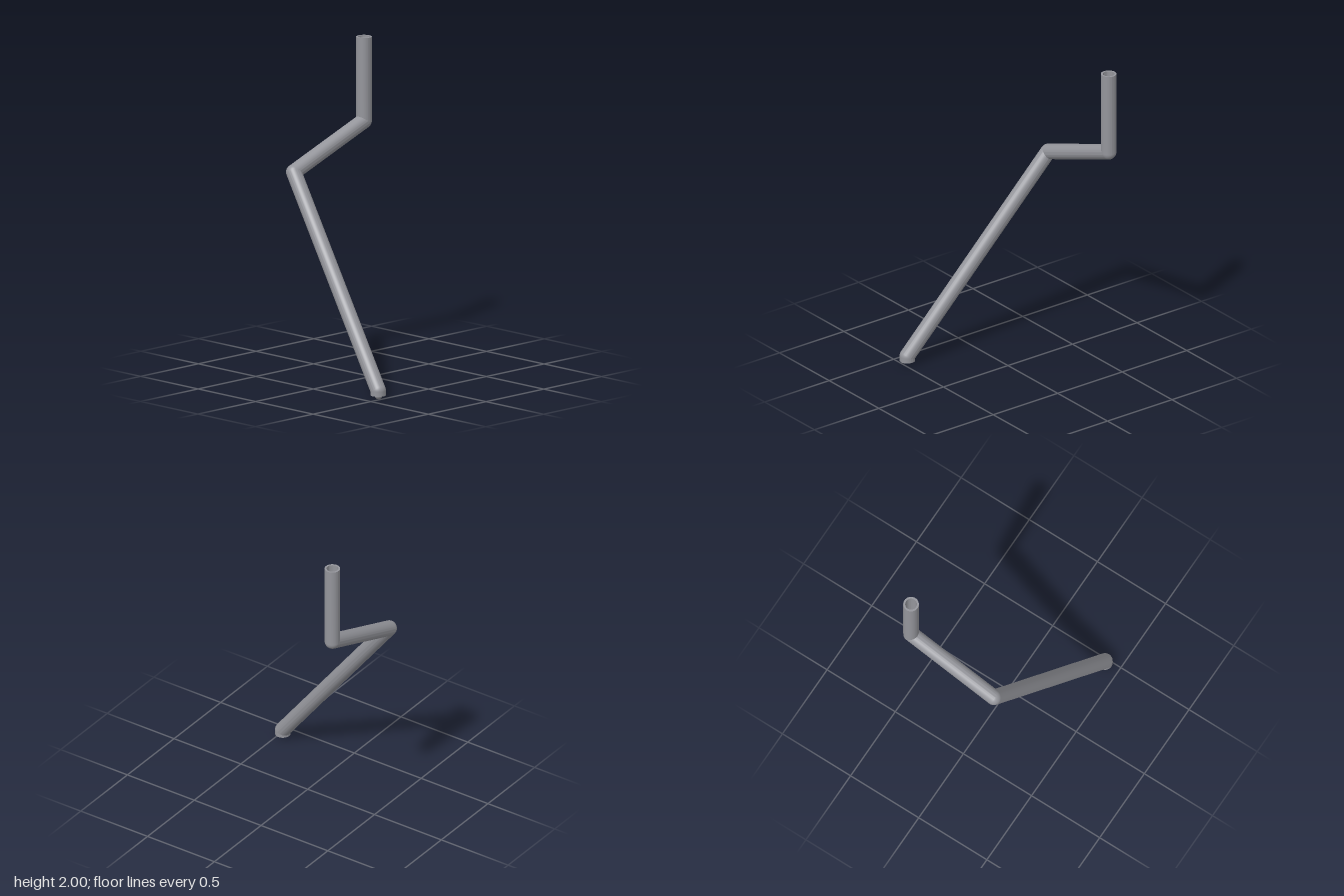
import * as THREE from 'three';
import { toCreasedNormals } from 'three/addons/utils/BufferGeometryUtils.js';

const OUTER = 0.048, BORE = 0.036, SIDES = 48;

export function createModel() {
  const group = new THREE.Group();
  const material = new THREE.MeshStandardMaterial({ color: 0x94959b });

  function add(name, geometry, position) {
    const mesh = new THREE.Mesh(geometry, material);
    mesh.name = name;
    mesh.position.copy(position);
    group.add(mesh);
    return mesh;
  }

  // Hollow pipe running from one point to another
  function pipe(name, from, to) {
    const dir = to.clone().sub(from);
    const h = dir.length();
    const profile = [[BORE, 0], [OUTER, 0], [OUTER, h], [BORE, h], [BORE, 0]]
      .map(([r, y]) => new THREE.Vector2(r, y));
    const geometry = toCreasedNormals(new THREE.LatheGeometry(profile, SIDES), 0.6);
    add(name, geometry, from).quaternion
      .setFromUnitVectors(new THREE.Vector3(0, 1, 0), dir.normalize());
  }

  const top = new THREE.Vector3(-0.468, 2, -0.405);
  const upperBend = new THREE.Vector3(-0.468, 1.47, -0.405);
  const lowerBend = new THREE.Vector3(-0.468, 1.243, 0.203);
  const foot = new THREE.Vector3(0.468, 0.05, 0.404);
  const mouth = foot.clone().setY(0.02);

  // Three straight runs
  pipe('upperPipe', upperBend, top);
  pipe('middlePipe', lowerBend, upperBend);
  pipe('longPipe', foot, lowerBend);

  // Rounded corners
  const ball = new THREE.SphereGeometry(OUTER, SIDES, 24);
  add('upperElbow', ball, upperBend);
  add('lowerElbow', ball, lowerBend);

  // Foot: domed bend, short downward mouth and the small bulge at its outer side
  const dome = new THREE.SphereGeometry(OUTER, SIDES, 12, 0, Math.PI * 2, 0, Math.PI / 2);
  add('footElbow', dome, foot);
  pipe('footMouth', mouth, foot);
  add('footBulge', new THREE.SphereGeometry(0.024, 32, 16), new THREE.Vector3(0.485, 0.024, 0.419));

  return group;
}
